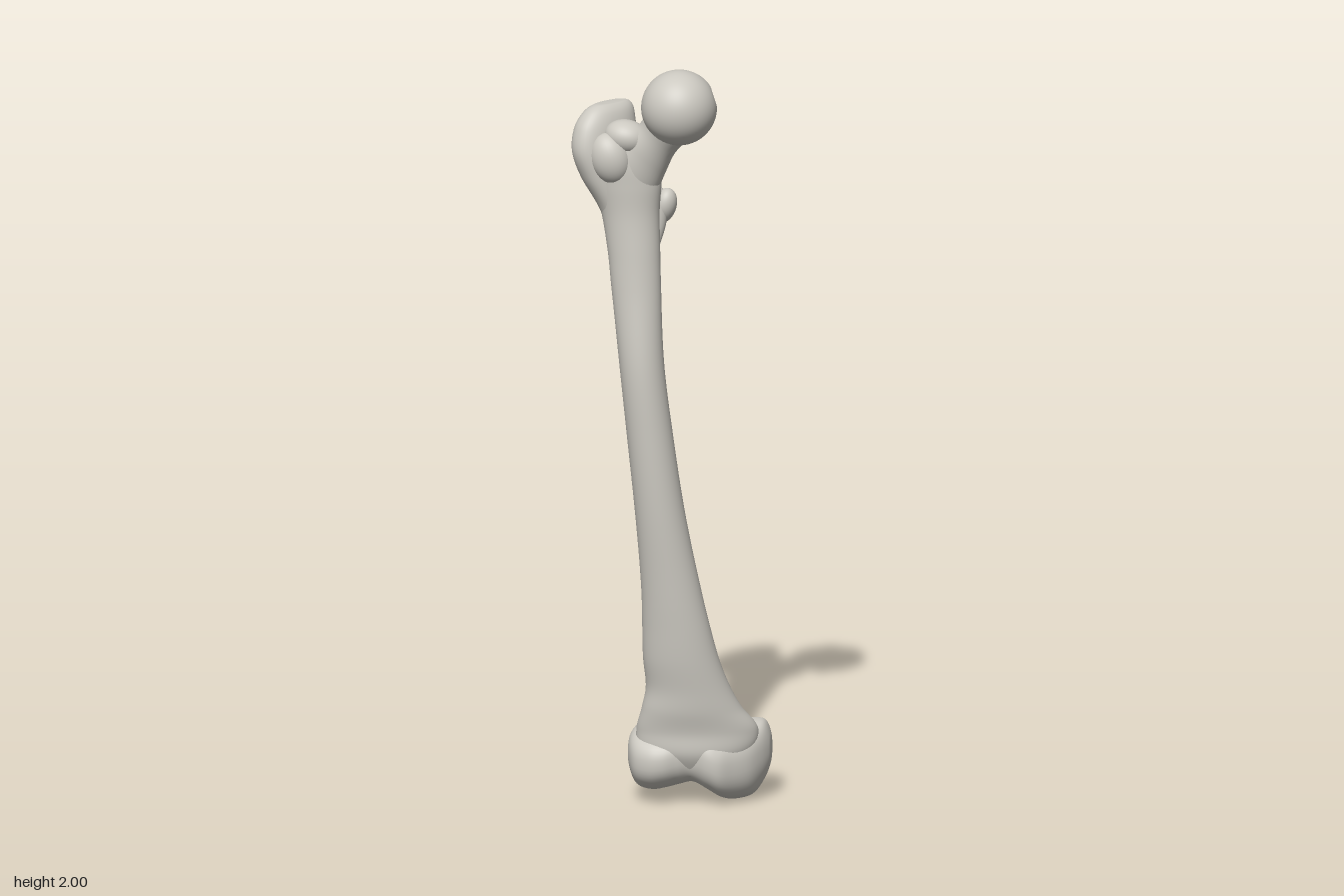
import * as THREE from 'three';

const bone = new THREE.MeshStandardMaterial({ color: 0xcbc8c0 });
bone.name = 'bone';

const V = (x, y, z) => new THREE.Vector3(x, y, z);

// Smooth closed loft. Each section is [x, y, z, a, b, turn]: an oval centred on
// x, y, z with half-widths a along u and b along v, turned in its own plane.
function loft(name, sections, u, v, { power = 2, swell = () => 0, rings = 60, sides = 40 } = {}) {
  const centres = new THREE.CatmullRomCurve3(sections.map(s => V(s[0], s[1], s[2])), false, 'catmullrom');
  const shapes = new THREE.CatmullRomCurve3(sections.map(s => V(s[3], s[4], s[5] || 0)), false, 'catmullrom');
  const round = n => Math.sign(n) * Math.abs(n) ** (2 / power);
  const positions = [], index = [];
  for (let i = 0; i <= rings; i++) {
    const c = centres.getPoint(i / rings), s = shapes.getPoint(i / rings);
    for (let j = 0; j < sides; j++) {
      const angle = j / sides * Math.PI * 2;
      const k = 1 + swell(angle, c.y);
      const p = s.x * k * round(Math.cos(angle)), q = s.y * k * round(Math.sin(angle));
      const cos = Math.cos(s.z), sin = Math.sin(s.z);
      const point = c.clone().addScaledVector(u, p * cos - q * sin).addScaledVector(v, p * sin + q * cos);
      positions.push(point.x, point.y, point.z);
      if (i < rings) {
        const a = i * sides + j, b = i * sides + (j + 1) % sides;
        index.push(a, b, b + sides, a, b + sides, a + sides);
      }
    }
  }
  // end caps
  const start = positions.length / 3, last = rings * sides;
  for (const t of [0, 1]) positions.push(...centres.getPoint(t).toArray());
  for (let j = 0; j < sides; j++) {
    const n = (j + 1) % sides;
    index.push(start, n, j, start + 1, last + j, last + n);
  }
  const geometry = new THREE.BufferGeometry();
  geometry.setAttribute('position', new THREE.Float32BufferAttribute(positions, 3));
  geometry.setIndex(index);
  geometry.computeVertexNormals();
  const mesh = new THREE.Mesh(geometry, bone);
  mesh.name = name;
  return mesh;
}

function knob(name, centre, radii, turn = [0, 0, 0]) {
  const mesh = new THREE.Mesh(new THREE.SphereGeometry(1, 32, 24), bone);
  mesh.name = name;
  mesh.position.set(...centre);
  mesh.scale.set(...radii);
  mesh.rotation.set(...turn);
  return mesh;
}

// Ball of the hip joint with a small pit on its inner side
function makeHead() {
  const geometry = new THREE.SphereGeometry(0.1, 64, 48);
  const pos = geometry.attributes.position, pit = V(0.93, 0.3, -0.2).normalize(), p = V(0, 0, 0);
  for (let i = 0; i < pos.count; i++) {
    p.fromBufferAttribute(pos, i);
    const d = p.clone().normalize().distanceTo(pit);
    p.multiplyScalar(1 - 0.1 * Math.exp(-((d / 0.17) ** 2)));
    pos.setXYZ(i, p.x, p.y, p.z);
  }
  geometry.computeVertexNormals();
  const mesh = new THREE.Mesh(geometry, bone);
  mesh.name = 'head';
  mesh.position.set(0.028, 1.9, 0.067);
  return mesh;
}

export function createModel() {
  const group = new THREE.Group();
  group.name = 'thighBone';
  const X = V(1, 0, 0), Y = V(0, 1, 0), Z = V(0, 0, 1), back = V(0, 0, -1);

  // Bowed shaft, flaring at both ends, with a rough ridge down its back
  const ridge = (angle, y) => {
    const along = THREE.MathUtils.smoothstep(y, 0.4, 0.7) * (1 - THREE.MathUtils.smoothstep(y, 1.3, 1.6));
    return along * (0.12 * Math.exp(-(((angle - Math.PI / 2) / 0.22) ** 2)) - 0.03);
  };
  group.add(loft('shaft', [
    [0.06, 0.08, 0.01, 0.08, 0.05, 0.1],
    [0.065, 0.14, 0.008, 0.15, 0.078, 0.15],
    [0.068, 0.2, 0.008, 0.16, 0.078, 0.17],
    [0.056, 0.26, 0.025, 0.132, 0.073, 0.15],
    [0.047, 0.32, 0.035, 0.111, 0.069, 0.1],
    [0.03, 0.4, 0.047, 0.1, 0.067, 0.05],
    [0.017, 0.5, 0.056, 0.089, 0.065],
    [0.005, 0.6, 0.063, 0.08, 0.064],
    [-0.022, 0.8, 0.073, 0.068, 0.064],
    [-0.047, 1.0, 0.077, 0.063, 0.063],
    [-0.07, 1.2, 0.075, 0.061, 0.061],
    [-0.087, 1.4, 0.057, 0.067, 0.054],
    [-0.095, 1.5, 0.045, 0.07, 0.055],
    [-0.106, 1.6, 0.032, 0.077, 0.059],
    [-0.117, 1.68, 0.028, 0.092, 0.063],
    [-0.128, 1.74, 0.026, 0.098, 0.064],
    [-0.132, 1.8, 0.025, 0.08, 0.055],
    [-0.132, 1.835, 0.025, 0.03, 0.025],
  ], X, back, { rings: 140, sides: 56, swell: ridge }));

  // Neck and ball
  group.add(loft('neck', [
    [-0.125, 1.65, 0.025, 0.07, 0.05],
    [-0.1, 1.715, 0.028, 0.085, 0.058],
    [-0.068, 1.765, 0.035, 0.075, 0.056],
    [-0.033, 1.808, 0.046, 0.061, 0.053],
    [-0.005, 1.85, 0.057, 0.066, 0.06],
    [0.02, 1.885, 0.065, 0.07, 0.068],
  ], V(0.75, -0.66, 0), back));
  group.add(makeHead());

  // Large outer knob: a slanting crest that merges down into the shaft
  group.add(loft('greaterTrochanter', [
    [-0.125, 1.54, 0.03, 0.035, 0.03, 0.83],
    [-0.143, 1.62, 0.025, 0.052, 0.042, 0.83],
    [-0.165, 1.7, 0.016, 0.083, 0.053, 0.83],
    [-0.175, 1.77, 0.008, 0.103, 0.054, 0.83],
    [-0.178, 1.83, 0.001, 0.094, 0.049, 0.83],
    [-0.171, 1.868, -0.01, 0.078, 0.038, 0.83],
    [-0.165, 1.886, -0.016, 0.055, 0.022, 0.83],
    [-0.163, 1.889, -0.017, 0.02, 0.008, 0.83],
  ], X, back, { power: 2.3 }));
  group.add(knob('frontTubercle', [-0.155, 1.755, 0.065], [0.055, 0.07, 0.048], [0, 0, 0.3]));
  group.add(knob('neckSaddle', [-0.115, 1.81, 0.045], [0.06, 0.045, 0.05], [0, 0, -0.2]));

  // Small inner knob and the crest running up to the large one
  group.add(loft('rearCrest', [
    [-0.148, 1.82, -0.045, 0.012, 0.012],
    [-0.13, 1.77, -0.038, 0.028, 0.026],
    [-0.095, 1.7, -0.022, 0.032, 0.028],
    [-0.055, 1.64, -0.012, 0.036, 0.03],
    [-0.045, 1.57, 0, 0.03, 0.028],
    [-0.052, 1.48, 0.022, 0.012, 0.012],
  ].reverse(), X, back, { sides: 28 }));
  group.add(knob('lesserTrochanter', [-0.023, 1.61, -0.018], [0.032, 0.05, 0.034], [0.15, 0, -0.3]));

  // Knee end, swept from side to side: two condyles with a notch between them
  const condyles = [
    // x, bottom, top, back, front
    [-0.117, 0.12, 0.14, -0.03, -0.01],
    [-0.111, 0.085, 0.175, -0.08, 0.04],
    [-0.09, 0.04, 0.195, -0.14, 0.08],
    [-0.05, 0.028, 0.2, -0.166, 0.1],
    [-0.012, 0.035, 0.2, -0.158, 0.1],
    [0.025, 0.047, 0.205, -0.115, 0.087],
    [0.06, 0.055, 0.205, -0.08, 0.075],
    [0.1, 0.035, 0.205, -0.1, 0.088],
    [0.135, 0.01, 0.2, -0.152, 0.085],
    [0.17, 0.002, 0.205, -0.172, 0.062],
    [0.21, 0.012, 0.21, -0.166, 0.03],
    [0.237, 0.05, 0.205, -0.135, -0.005],
    [0.252, 0.09, 0.175, -0.1, -0.035],
    [0.256, 0.12, 0.14, -0.075, -0.055],
  ];
  group.add(loft('condyles', condyles.map(([x, y0, y1, z0, z1]) =>
    [x, (y0 + y1) / 2, (z0 + z1) / 2, (y1 - y0) / 2, (z1 - z0) / 2]),
  Y, Z, { power: 2.3, rings: 90, sides: 56 }));

  return group;
}
